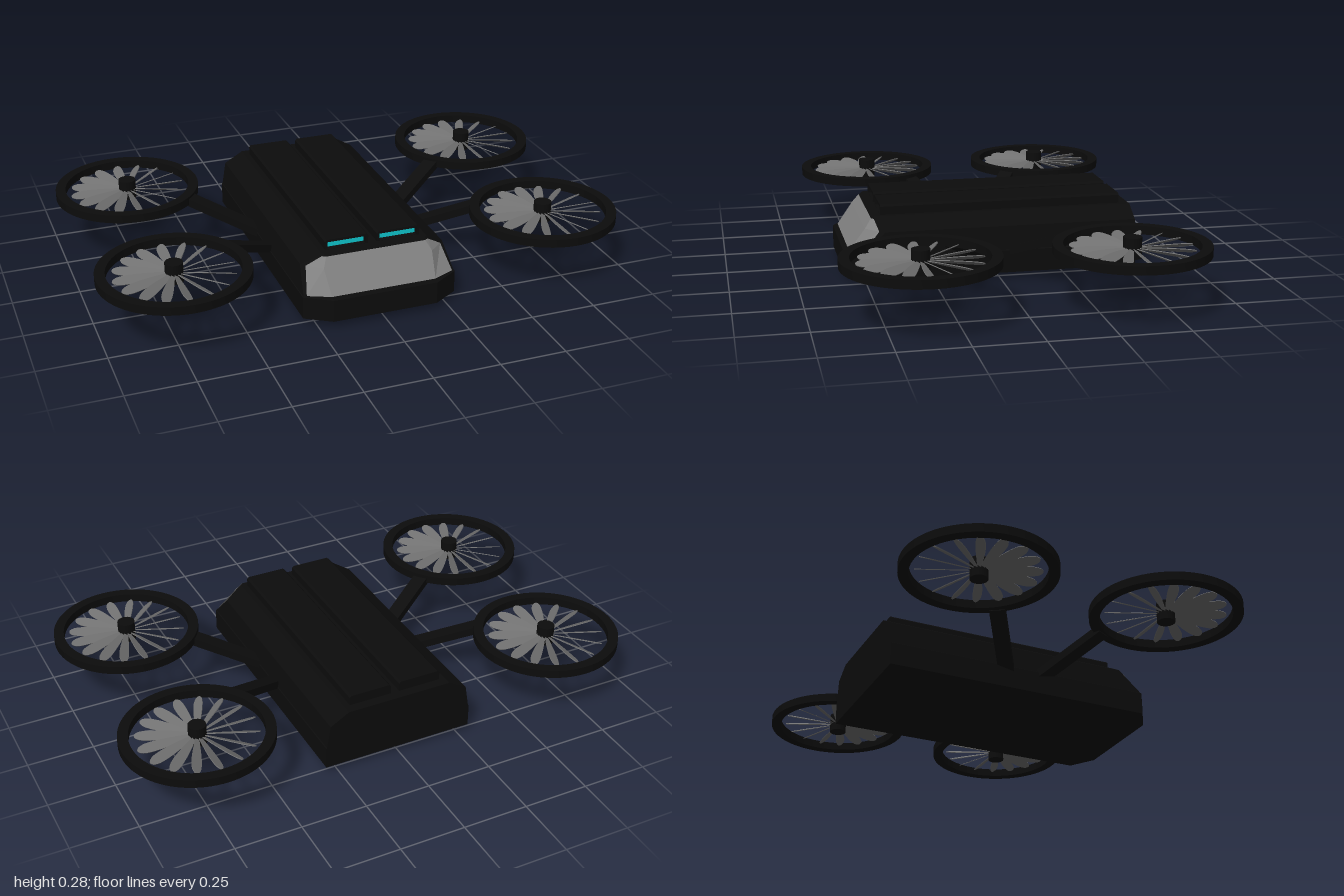
import * as THREE from 'three';
import { toCreasedNormals } from 'three/addons/utils/BufferGeometryUtils.js';

const black = new THREE.MeshStandardMaterial({ color: 0x0c0c0c });
const blackFlat = new THREE.MeshStandardMaterial({ color: 0x0c0c0c, flatShading: true });
const glassGrey = new THREE.MeshStandardMaterial({ color: 0x808080, flatShading: true, side: THREE.DoubleSide });
const bladeGrey = new THREE.MeshStandardMaterial({ color: 0x707070 });
const cyan = new THREE.MeshStandardMaterial({ color: 0x10c8d0 });

function add(parent, name, geometry, material, x = 0, y = 0, z = 0) {
  const mesh = new THREE.Mesh(geometry, material);
  mesh.name = name;
  mesh.position.set(x, y, z);
  parent.add(mesh);
  return mesh;
}

// Skin over rows of [x, y, z] points
function loft(rows, closed) {
  const n = rows[0].length, index = [];
  for (let i = 0; i < rows.length - 1; i++) {
    for (let j = 0; j < (closed ? n : n - 1); j++) {
      const k = (j + 1) % n;
      const a = i * n + j, b = i * n + k, c = a + n, d = b + n;
      index.push(a, b, d, a, d, c);
    }
  }
  const g = new THREE.BufferGeometry();
  g.setAttribute('position', new THREE.Float32BufferAttribute(rows.flat(2), 3));
  g.setIndex(index);
  const flat = g.toNonIndexed();
  flat.computeVertexNormals();
  return flat;
}

// Hull: level outlines with cut front corners
function hullGeometry() {
  const levels = [ // y, side x, side front z, nose x, nose z, rear z
    [0, 0.2, 0.48, 0.16, 0.51, -0.485],
    [0.025, 0.295, 0.515, 0.2, 0.575, -0.522],
    [0.11, 0.295, 0.515, 0.2, 0.575, -0.522],
    [0.112, 0.292, 0.513, 0.2, 0.552, -0.522],
    [0.2, 0.277, 0.43, 0.21, 0.49, -0.522],
    [0.242, 0.205, 0.452, 0.195, 0.46, -0.522],
  ];
  const rows = levels.map(([y, xs, zs, xn, zn, zr]) => [
    [xs, y, zr], [-xs, y, zr], [-xs, y, zs], [-xn, y, zn], [xn, y, zn], [xs, y, zs],
  ]);
  const cap = (y) => Array.from({ length: 6 }, () => [0, y, 0]);
  return loft([cap(0), ...rows, cap(0.242)], true);
}

// Windscreen: a band wrapping round the nose
function windscreenGeometry() {
  const levels = [ // y, side x, side z, nose x, nose z
    [0.116, 0.282, 0.519, 0.2, 0.556],
    [0.2, 0.262, 0.45, 0.209, 0.496],
    [0.234, 0.205, 0.462, 0.192, 0.471],
  ];
  return loft(levels.map(([y, xs, zs, xn, zn]) => [
    [-xs, y, zs], [-xn, y, zn], [xn, y, zn], [xs, y, zs],
  ]), false);
}

// Roof pod: chamfered section run along the roof, with an open hood at the front
function podSection() {
  const w = 0.083;
  return new THREE.Shape([
    new THREE.Vector2(-w, 0), new THREE.Vector2(w, 0), new THREE.Vector2(w, 0.033),
    new THREE.Vector2(w - 0.007, 0.04), new THREE.Vector2(-w + 0.007, 0.04), new THREE.Vector2(-w, 0.033),
  ]);
}

function roofPod() {
  const pod = new THREE.Group();
  pod.name = 'roofPod';
  const solid = new THREE.ExtrudeGeometry(podSection(), { depth: 0.895, bevelEnabled: false });
  add(pod, 'podBody', solid, blackFlat, 0, 0.24, -0.485);
  const frame = podSection();
  frame.holes.push(new THREE.Path([
    new THREE.Vector2(-0.073, 0.003), new THREE.Vector2(-0.073, 0.031),
    new THREE.Vector2(0.073, 0.031), new THREE.Vector2(0.073, 0.003),
  ]));
  add(pod, 'podHood', new THREE.ExtrudeGeometry(frame, { depth: 0.025, bevelEnabled: false }), blackFlat, 0, 0.24, 0.41);
  add(pod, 'lightStrip', new THREE.BoxGeometry(0.146, 0.028, 0.008), cyan, 0, 0.257, 0.411);
  return pod;
}

// Paddle-shaped blade lying along +x
function bladeGeometry() {
  const s = new THREE.Shape();
  s.moveTo(0.02, -0.006);
  s.bezierCurveTo(0.09, -0.015, 0.15, -0.022, 0.19, -0.018);
  s.bezierCurveTo(0.232, -0.013, 0.232, 0.013, 0.19, 0.018);
  s.bezierCurveTo(0.15, 0.022, 0.09, 0.015, 0.02, 0.006);
  const g = new THREE.ExtrudeGeometry(s, { depth: 0.003, bevelEnabled: false, curveSegments: 8 });
  return g.translate(0, 0, -0.0015).rotateX(-Math.PI / 2);
}

function ringGeometry() {
  const s = new THREE.Shape().absarc(0, 0, 0.278, 0, Math.PI * 2);
  s.holes.push(new THREE.Path().absarc(0, 0, 0.24, 0, Math.PI * 2, true));
  const g = new THREE.ExtrudeGeometry(s, { depth: 0.032, bevelEnabled: false, curveSegments: 48 });
  return toCreasedNormals(g.translate(0, 0, -0.016).rotateX(-Math.PI / 2), 0.6);
}

function rotor(blade, ring) {
  const group = new THREE.Group();
  group.name = 'rotor';
  add(group, 'rotorRing', ring, black);
  add(group, 'rotorHub', new THREE.CylinderGeometry(0.033, 0.033, 0.075, 24), black, 0, 0.003, 0);
  const count = 16;
  for (let i = 0; i < count; i++) {
    const spoke = new THREE.Group();
    spoke.name = 'bladeMount';
    spoke.rotation.y = (i / count) * Math.PI * 2;
    add(spoke, 'blade', blade, bladeGrey).rotation.x = -Math.PI / 6; // pitch
    group.add(spoke);
  }
  return group;
}

// Rectangular beam between two points
function arm(parent, from, to) {
  const beam = add(parent, 'rotorArm', new THREE.BoxGeometry(0.058, 0.03, from.distanceTo(to)), black);
  beam.position.copy(from).lerp(to, 0.5);
  beam.lookAt(to);
}

export function createModel() {
  const model = new THREE.Group();
  model.name = 'rotorcraft';
  add(model, 'hull', hullGeometry(), blackFlat);
  add(model, 'windscreen', windscreenGeometry(), glassGrey);

  const blade = bladeGeometry(), ring = ringGeometry();
  for (const side of [1, -1]) {
    const pod = roofPod();
    pod.position.x = side * 0.1;
    model.add(pod);

    // Front and rear rotor with its arm
    for (const [z, rootZ, tipZ] of [[0.371, 0.085, 0.225], [-0.371, -0.045, -0.205]]) {
      const r = rotor(blade, ring);
      r.position.set(side * 0.722, 0.219, z);
      model.add(r);
      arm(model, new THREE.Vector3(side * 0.26, 0.1, rootZ), new THREE.Vector3(side * 0.515, 0.214, tipZ));
    }
  }
  return model;
}
